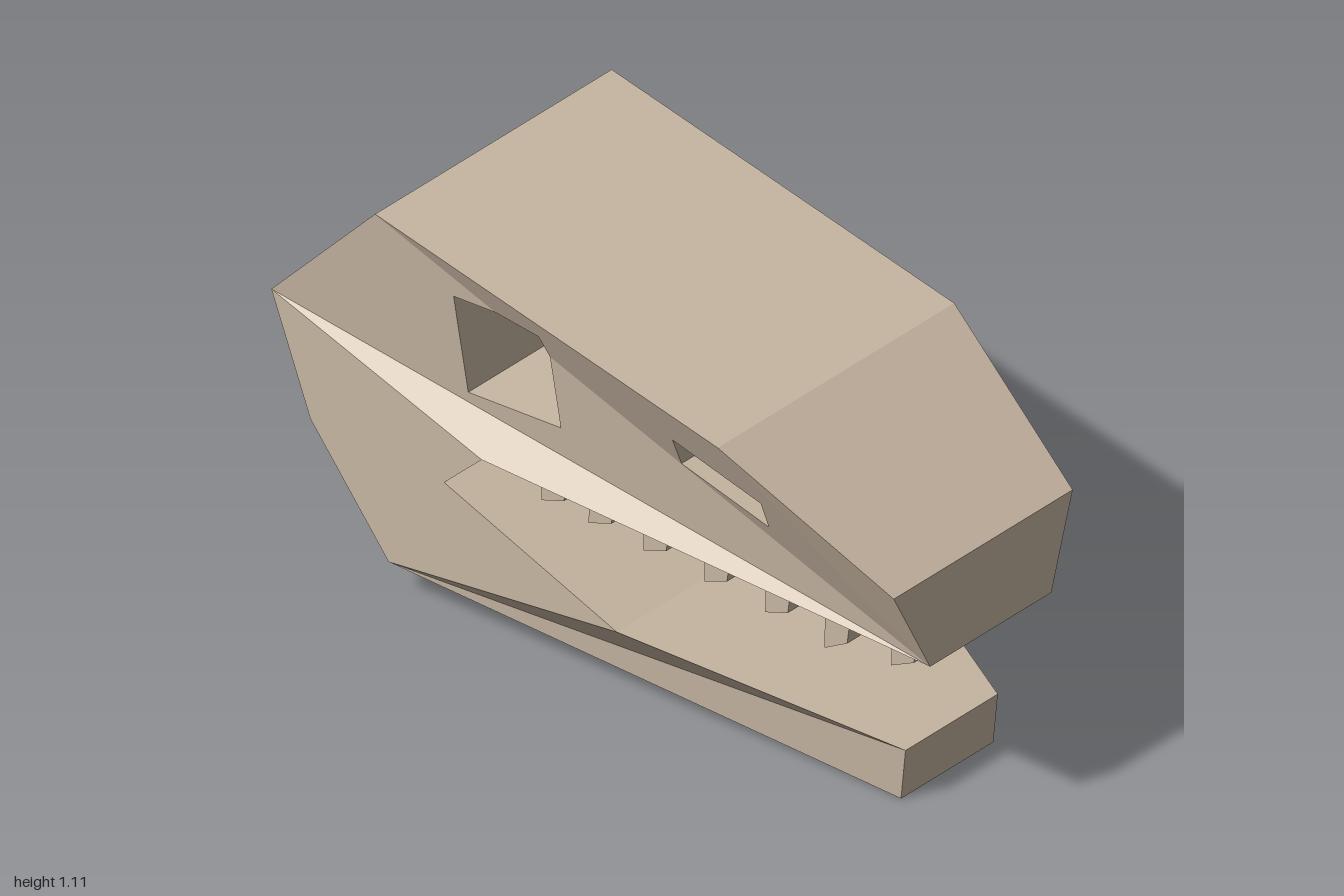
import * as THREE from 'three';

const bone = new THREE.MeshStandardMaterial({ color: 0xc8b7a3, flatShading: true });
const W = 0.41;

// Profile corners of the skull: [z, y, half width]
const A = [1, 0.49, 0.21], B = [0.975, 0.73, 0.31], C = [0.485, 0.985, W], D = [-0.655, 1.105, W],
  E = [-1, 0.71, W], F = [-0.87, 0.39, W], G = [-0.61, 0.097, W], H = [0.855, 0, 0.16],
  I = [0.87, 0.15, 0.16], J = [0.15, 0.27, W], K = [-0.425, 0.425, W], L = [-0.3, 0.555, W];

// Crossing of lines ab and cd in the profile
function cross(a, b, c, d) {
  const r = [b[0] - a[0], b[1] - a[1]], s = [d[0] - c[0], d[1] - c[1]];
  const t = ((c[0] - a[0]) * s[1] - (c[1] - a[1]) * s[0]) / (r[0] * s[1] - r[1] * s[0]);
  return [a[0] + r[0] * t, a[1] + r[1] * t];
}

// Eye socket corners, and the points where creases of the cheek cross its rim
const tf = [-0.14, 0.985], tb = [-0.425, 0.96], bb = [-0.4, 0.675], bf = [-0.115, 0.7];
const P = cross(A, D, bf, tf), Q = cross(A, D, tf, tb), R = cross(D, L, bf, bb), S = cross(D, L, bb, tb);
const eye = [bf, R, bb, S, tb, Q, tf, P];
const nostril = [[0.54, 0.715], [0.26, 0.768], [0.275, 0.87], [0.56, 0.82]];

// Half width at a point of the cheek on side s; A is the only narrow corner of each facet
function halfWidth(p, s) {
  if (p.length > 2) return p[2];
  const above = p[1] > A[1] + (D[1] - A[1]) * (A[0] - p[0]) / (A[0] - D[0]) + 1e-6;
  const far = above ? C : s > 0 ? L : E;
  const dist = q => (q[0] - D[0]) * (far[1] - D[1]) - (q[1] - D[1]) * (far[0] - D[0]);
  return W - (W - A[2]) * Math.max(0, dist(p) / dist(A));
}
const at = (p, s) => new THREE.Vector3(s * halfWidth(p, s), p[1], p[0]);

// Collects flat faces, turning each towards the given outward direction
class Shell {
  constructor() { this.pos = []; }
  face(points, out, holes = []) {
    const dir = new THREE.Vector3(...out);
    const abs = dir.toArray().map(Math.abs);
    const axis = abs.indexOf(Math.max(...abs));
    const flat = v => new THREE.Vector2(...v.toArray().filter((_, i) => i !== axis));
    let outline = points.slice();
    if (THREE.ShapeUtils.isClockWise(outline.map(flat))) outline.reverse();
    const all = [outline, ...holes].flat();
    for (const t of THREE.ShapeUtils.triangulateShape(outline.map(flat), holes.map(h => h.map(flat)))) {
      const [a, b, c] = t.map(i => all[i]);
      const n = b.clone().sub(a).cross(c.clone().sub(a));
      for (const v of n.dot(dir) < 0 ? [a, c, b] : [a, b, c]) this.pos.push(v.x, v.y, v.z);
    }
  }
  strip(a, b, out) { this.face([at(a, -1), at(a, 1), at(b, 1), at(b, -1)], out); }
  mesh(name) {
    const g = new THREE.BufferGeometry();
    g.setAttribute('position', new THREE.Float32BufferAttribute(this.pos, 3));
    g.computeVertexNormals();
    const m = new THREE.Mesh(g, bone);
    m.name = name;
    return m;
  }
}

function makeCheeks() {
  const shell = new Shell();
  for (const s of [-1, 1]) {
    const put = (pts, holes = []) =>
      shell.face(pts.map(p => at(p, s)), [s, 0, 0], holes.map(h => h.map(p => at(p, s))));
    put([A, B, C]);
    put([A, P, tf, Q, D, C], [nostril]);
    if (s > 0) {
      put([A, L, R, bf, P]);
      put([Q, tb, S, D]);
      put([L, E, D, S, bb, R]);
    } else {
      put([A, E, D, Q, tb, bb, bf, P]);
      put([A, L, E]);
    }
    put([L, E, F, G, J, K]);
    put([J, G, H, I]);
  }
  return shell.mesh('cheeks');
}

// Openings run right through the head
function makeTunnel(loop, name) {
  const shell = new Shell();
  const area = loop.reduce((t, p, i) => {
    const q = loop[(i + 1) % loop.length];
    return t + p[0] * q[1] - q[0] * p[1];
  }, 0);
  const k = Math.sign(area);
  loop.forEach((p, i) => {
    const q = loop[(i + 1) % loop.length];
    shell.strip(p, q, [0, k * (q[0] - p[0]), -k * (q[1] - p[1])]);
  });
  return shell.mesh(name);
}

function makeBands() {
  const shell = new Shell();
  shell.strip(A, B, [0, 0, 1]);
  shell.strip(B, C, [0, 1, 0]);
  shell.strip(C, D, [0, 1, 0]);
  shell.strip(A, L, [0, -1, 0]);
  shell.strip(L, K, [0, -0.5, 1]);
  shell.strip(K, J, [0, 1, 0]);
  shell.strip(J, I, [0, 1, 0]);
  shell.strip(I, H, [0, 0, 1]);
  shell.strip(H, G, [0, -1, 0]);
  return shell.mesh('snoutCrownAndJaw');
}

// Back of the head with its tapered upright notch
function makeBack() {
  const shell = new Shell(), depth = -0.765;
  const notch = p => [p[0], p[1], 0.2 + 0.055 * (depth - p[0]) / (depth + 1)];
  const slice = (a, b) => [depth, a[1] + (b[1] - a[1]) * (depth - a[0]) / (b[0] - a[0]), 0.2];
  const top = slice(D, E), low = slice(G, F), e = notch(E), f = notch(F);
  const slope = (inner, outer, cut, rim, out) => shell.face([
    at(inner, -1), at(inner, 1), at(outer, 1), at(rim, 1),
    at(cut, 1), at(cut, -1), at(rim, -1), at(outer, -1)], out);
  slope(D, E, top, e, [0, 1, -0.8]);
  slope(G, F, low, f, [0, -1, -0.9]);
  shell.strip(top, low, [0, 0, -1]);
  for (const s of [-1, 1]) {
    shell.face([at(E, s), at(F, s), at(f, s), at(e, s)], [0, -0.3, -1]);
    shell.face([top, e, f, low].map(p => at(p, s)), [-s, 0, 0]);
  }
  return shell.mesh('backOfHead');
}

// Each tooth: [front z, tip y in front, tip y behind]
function makeTeeth() {
  const group = new THREE.Group();
  group.name = 'teeth';
  const rows = [[0.89, 0.4, 0.355], [0.72, 0.4, 0.35], [0.545, 0.415, 0.38], [0.365, 0.43, 0.393],
    [0.185, 0.442, 0.407], [0.025, 0.455, 0.42], [-0.11, 0.467, 0.432]];
  const width = 0.047;
  rows.forEach(([z, front, back], i) => {
    const roof = q => 0.5 + 0.05 * (1 - q);
    const shape = new THREE.Shape([[z, roof(z)], [z - 0.015, front], [z - 0.09, back], [z - 0.088, roof(z - 0.088)]]
      .map(p => new THREE.Vector2(-p[0], p[1])));
    const geo = new THREE.ExtrudeGeometry(shape, { depth: width, bevelEnabled: false });
    geo.translate(0, 0, -width / 2).rotateY(Math.PI / 2);
    for (const s of [-1, 1]) {
      const tooth = new THREE.Mesh(geo, bone);
      const step = i - 1;
      tooth.position.x = i === 0 ? (s > 0 ? 0.148 : -0.113)
        : s > 0 ? 0.182 + 0.0244 * step : -0.167 - 0.0234 * step;
      tooth.name = s > 0 ? 'leftTooth' : 'rightTooth';
      group.add(tooth);
    }
  });
  return group;
}

export function createModel() {
  const skull = new THREE.Group();
  skull.name = 'skull';
  skull.add(makeCheeks(), makeBands(), makeBack(),
    makeTunnel(eye, 'eyeSockets'), makeTunnel(nostril, 'nostrils'), makeTeeth());
  return skull;
}
